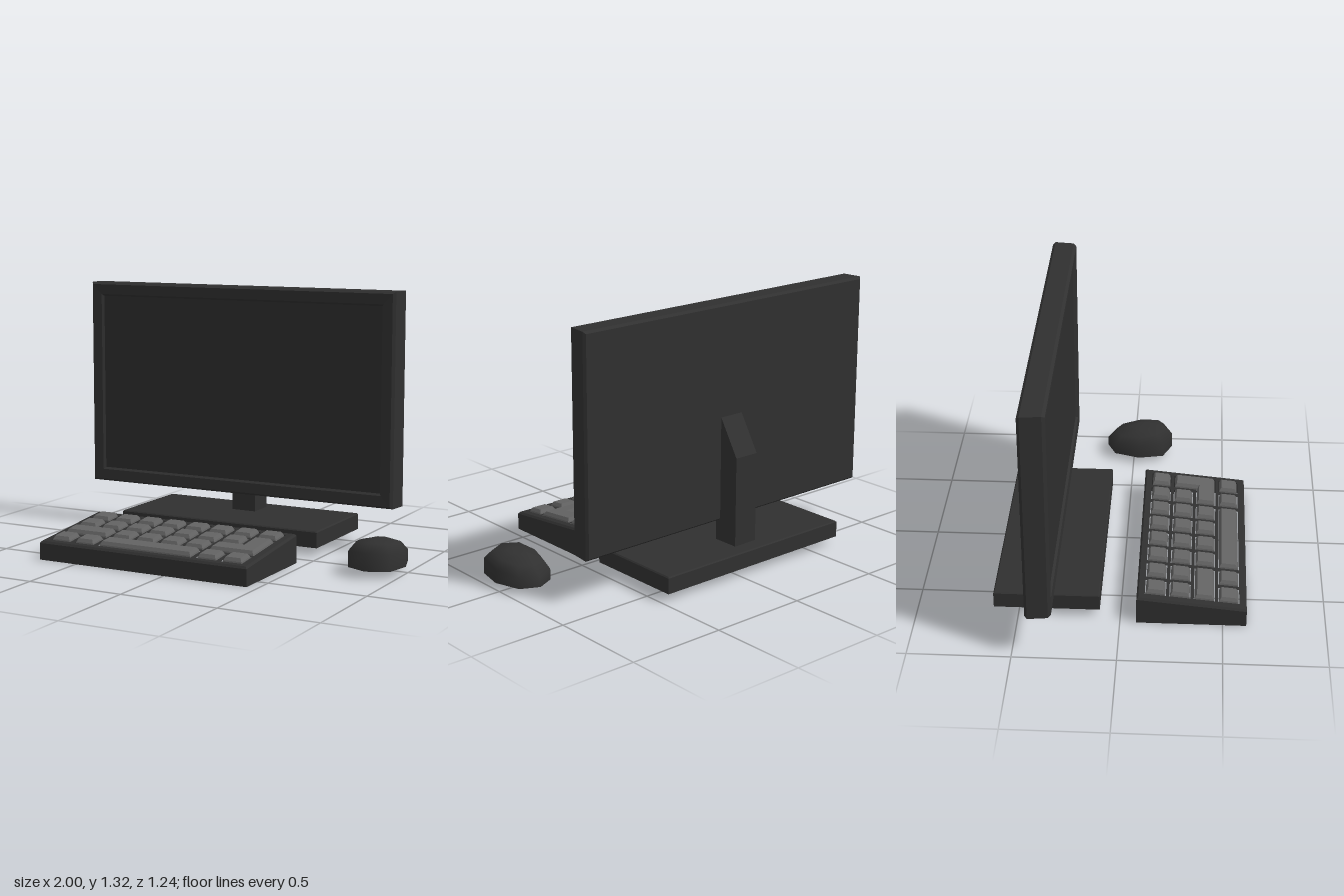
import * as THREE from 'three';
import { mergeVertices } from 'three/addons/utils/BufferGeometryUtils.js';

const material = (name, color) => {
  const m = new THREE.MeshStandardMaterial({ color, side: THREE.DoubleSide });
  m.name = name;
  return m;
};

// Outlines are [x, z] points, anticlockwise seen from above
const rect = (x0, z0, x1, z1) => [[x0, z0], [x0, z1], [x1, z1], [x1, z0]];

// Moves every edge of a right-angled outline inwards by d
function inset(outline, d) {
  const n = outline.length;
  const normal = (a, b) => [Math.sign(b[1] - a[1]), -Math.sign(b[0] - a[0])];
  return outline.map((p, i) => {
    const a = normal(outline[(i + n - 1) % n], p);
    const b = normal(p, outline[(i + 1) % n]);
    return [p[0] + d * (a[0] + b[0]), p[1] + d * (a[1] + b[1])];
  });
}

// Lifts an outline to a ring of 3D points; y is a number or a rule of z
const ring = (outline, y) =>
  outline.map(([x, z]) => [x, typeof y === 'function' ? y(z) : y, z]);

// Skins rings listed from bottom to top, with optional end caps
function loft(rings, { top = true, bottom = false } = {}) {
  const pos = [];
  const tri = (...points) => points.forEach((p) => pos.push(...p));
  const n = rings[0].length;
  for (let r = 0; r < rings.length - 1; r++) {
    for (let i = 0; i < n; i++) {
      const j = (i + 1) % n;
      const a = rings[r][i], b = rings[r][j], c = rings[r + 1][j], d = rings[r + 1][i];
      tri(a, b, c);
      tri(a, c, d);
    }
  }
  const cap = (pts, flip) => {
    const flat = pts.map((p) => new THREE.Vector2(p[0], -p[2]));
    for (const [a, b, c] of THREE.ShapeUtils.triangulateShape(flat, [])) {
      tri(pts[a], pts[flip ? c : b], pts[flip ? b : c]);
    }
  };
  if (top) cap(rings[rings.length - 1], false);
  if (bottom) cap(rings[0], true);
  const g = new THREE.BufferGeometry();
  g.setAttribute('position', new THREE.Float32BufferAttribute(pos, 3));
  g.computeVertexNormals();
  return g;
}

export function createModel() {
  const model = new THREE.Group();
  model.name = 'desktopComputer';
  const black = material('black plastic', 0x303030);
  const glass = material('dark screen', 0x2e2e2e);
  const grey = material('grey keys', 0x636363);
  const add = (name, geometry, mat, parent = model) => {
    const mesh = new THREE.Mesh(geometry, mat);
    mesh.name = name;
    parent.add(mesh);
    return mesh;
  };

  // Monitor: rings run from back to front, then the block is turned upright
  const monitor = new THREE.Group();
  monitor.name = 'monitor';
  monitor.position.set(-0.1, 0.776, 0);
  monitor.rotation.x = Math.PI / 2;
  model.add(monitor);
  const panel = (hx, hy, depth) => ring(rect(-hx, -hy, hx, hy), depth);
  add('monitorCase', loft([
    panel(0.89, 0.535, -0.43), panel(0.9, 0.546, -0.417),
    panel(0.888, 0.546, -0.32), panel(0.875, 0.535, -0.306),
    panel(0.825, 0.482, -0.31), panel(0.815, 0.472, -0.322),
  ], { top: false, bottom: true }), black, monitor);
  add('screen', loft([panel(0.816, 0.473, -0.325), panel(0.816, 0.473, -0.322)]), glass, monitor);

  // Stand: hollow foot and slanted neck
  const foot = rect(-0.67, -0.62, 0.47, -0.1);
  add('standFoot', loft([
    ring(foot, 0.04), ring(foot, 0.119), ring(inset(foot, 0.006), 0.125),
  ]), black);
  const neckProfile = [[0.4, 0.12], [0.54, 0.12], [0.54, 0.58], [0.425, 0.77], [0.4, 0.77]];
  const neck = new THREE.ExtrudeGeometry(
    new THREE.Shape(neckProfile.map(([x, y]) => new THREE.Vector2(x, y))),
    { depth: 0.135, bevelEnabled: false });
  neck.rotateY(Math.PI / 2);
  neck.translate(-0.167, 0, 0);
  add('standNeck', neck, black);

  // Keyboard shell, open below, with a sloping top
  const keyboard = new THREE.Group();
  keyboard.name = 'keyboard';
  model.add(keyboard);
  const slope = (offset) => (z) => 0.148 - 0.1 * (z - 0.08) + offset;
  const body = rect(-0.71, 0.08, 0.445, 0.615);
  add('keyboardWalls', loft([
    ring(body, 0), ring(body, slope(-0.01)), ring(inset(body, 0.009), slope(0)),
  ], { top: false }), black, keyboard);

  // Key layout: [first column, row, last column]
  const colX = (c) => -0.662 + 0.137 * c;
  const rowZ = (r) => 0.123 + 0.119 * r;
  const W = 0.102, D = 0.095;
  const layout = [[0, 2, 1], [0, 3, 0], [1, 3, 1], [2, 3, 5], [6, 3, 6], [7, 3, 7]];
  for (let c = 0; c < 8; c++) {
    layout.push([c, 0, c]);
    if (c < 7) layout.push([c, 1, c]);
    if (c > 1 && c < 6) layout.push([c, 2, c]);
  }
  const keys = layout.map(([c, r, last]) =>
    rect(colX(c), rowZ(r), colX(last) + W, rowZ(r) + D));
  // L-shaped enter key
  const right = colX(7) + W;
  keys.push([[colX(7), rowZ(1)], [colX(7), rowZ(2)], [colX(6), rowZ(2)],
    [colX(6), rowZ(2) + D], [right, rowZ(2) + D], [right, rowZ(1)]]);

  // Top plate with a cut-out for each key
  const toPoints = (outline) => outline.map(([x, z]) => new THREE.Vector2(x, -z));
  const plateShape = new THREE.Shape(toPoints(inset(body, 0.009)));
  plateShape.holes = keys.map((k) => new THREE.Path(toPoints(inset(k, -0.004))));
  const plate = new THREE.ShapeGeometry(plateShape);
  plate.rotateX(-Math.PI / 2);
  const p = plate.attributes.position;
  for (let i = 0; i < p.count; i++) p.setY(i, slope(0)(p.getZ(i)));
  plate.computeVertexNormals();
  add('keyboardPlate', plate, black, keyboard);

  // Tapered keycaps, hollow below
  for (const k of keys) {
    add('key', loft([
      ring(k, slope(-0.012)), ring(inset(k, 0.003), slope(0.004)),
      ring(inset(k, 0.012), slope(0.02)),
    ]), grey, keyboard);
  }

  // Mouse: smooth eight-sided dome, higher towards the front
  const half = [[0, -0.15], [-0.093, -0.105], [-0.135, 0.03], [-0.108, 0.165]];
  const outline = [...half, [0, 0.213],
    ...half.slice(1).reverse().map(([x, z]) => [-x, z])];
  const scaled = (s) => outline.map(([x, z]) => [0.865 + x * s, 0.035 + (z - 0.035) * s]);
  const dome = loft([
    ring(scaled(1), 0.035),
    ring(scaled(0.99), (z) => 0.1 + z * 0.097),
    ring(scaled(0.74), (z) => 0.142 + z * 0.12),
    ring(scaled(0.3), (z) => 0.16 + z * 0.04),
  ]);
  dome.deleteAttribute('normal');
  const smoothDome = mergeVertices(dome, 1e-4);
  smoothDome.computeVertexNormals();
  add('mouse', smoothDome, black);

  return model;
}
